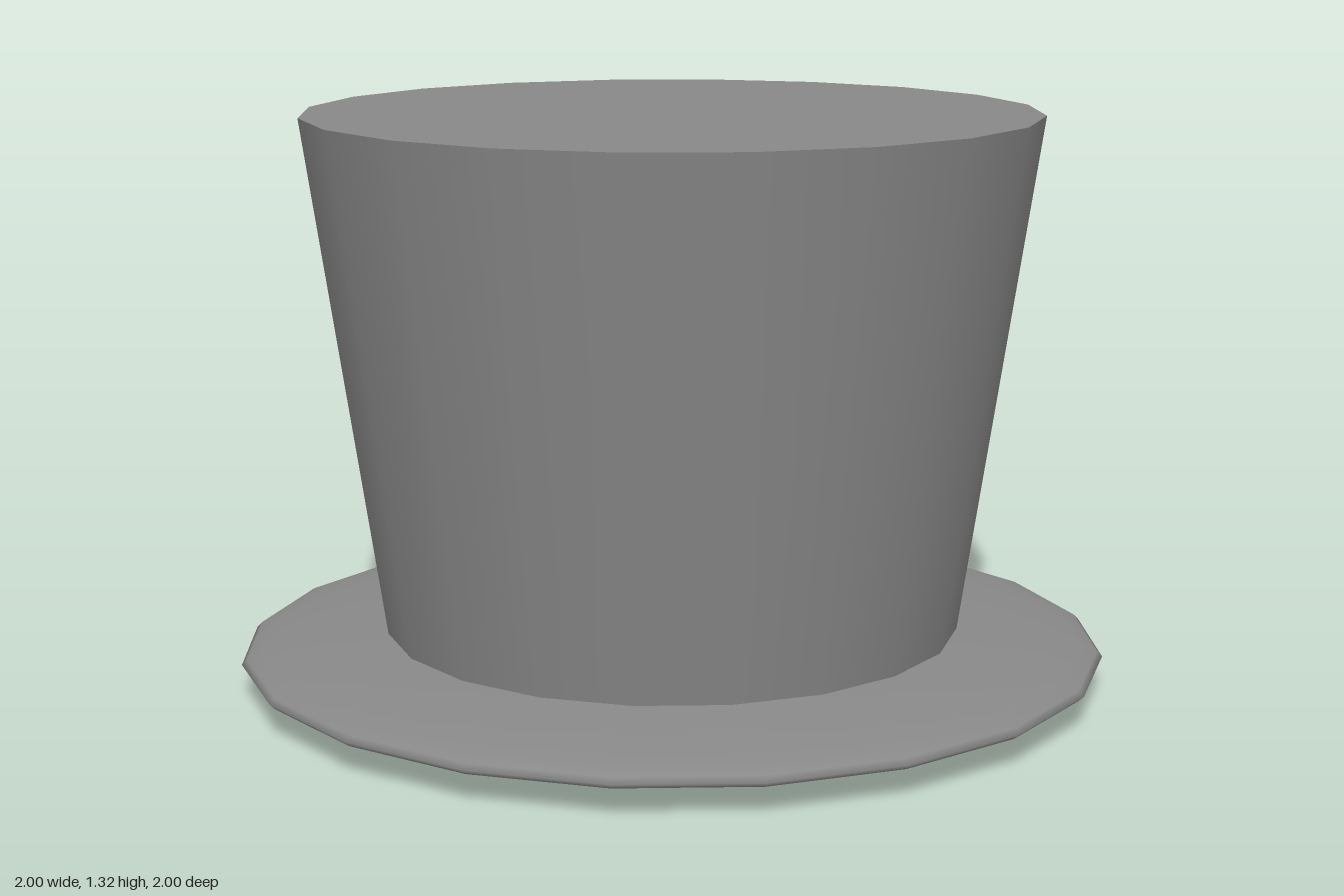
import * as THREE from 'three';

const SIDES = 20;

export function createModel() {
  const hat = new THREE.Group();
  hat.name = 'topHat';
  const material = new THREE.MeshStandardMaterial({ color: 0x888888 });

  const add = (name, geometry, y) => {
    const mesh = new THREE.Mesh(geometry, material);
    mesh.name = name;
    mesh.position.y = y;
    hat.add(mesh);
  };

  // Brim: a flattened sphere, scaled in the geometry so its normals stay smooth
  const brimHalf = 0.075;
  add('brim', new THREE.SphereGeometry(1, SIDES, 20).scale(1, brimHalf, 1), brimHalf);

  // Crown: a capped cone flaring upward, its foot sunk into the brim
  const foot = 0.1, top = 1.32;
  add('crown', new THREE.CylinderGeometry(0.84, 0.66, top - foot, SIDES), (foot + top) / 2);

  return hat;
}
